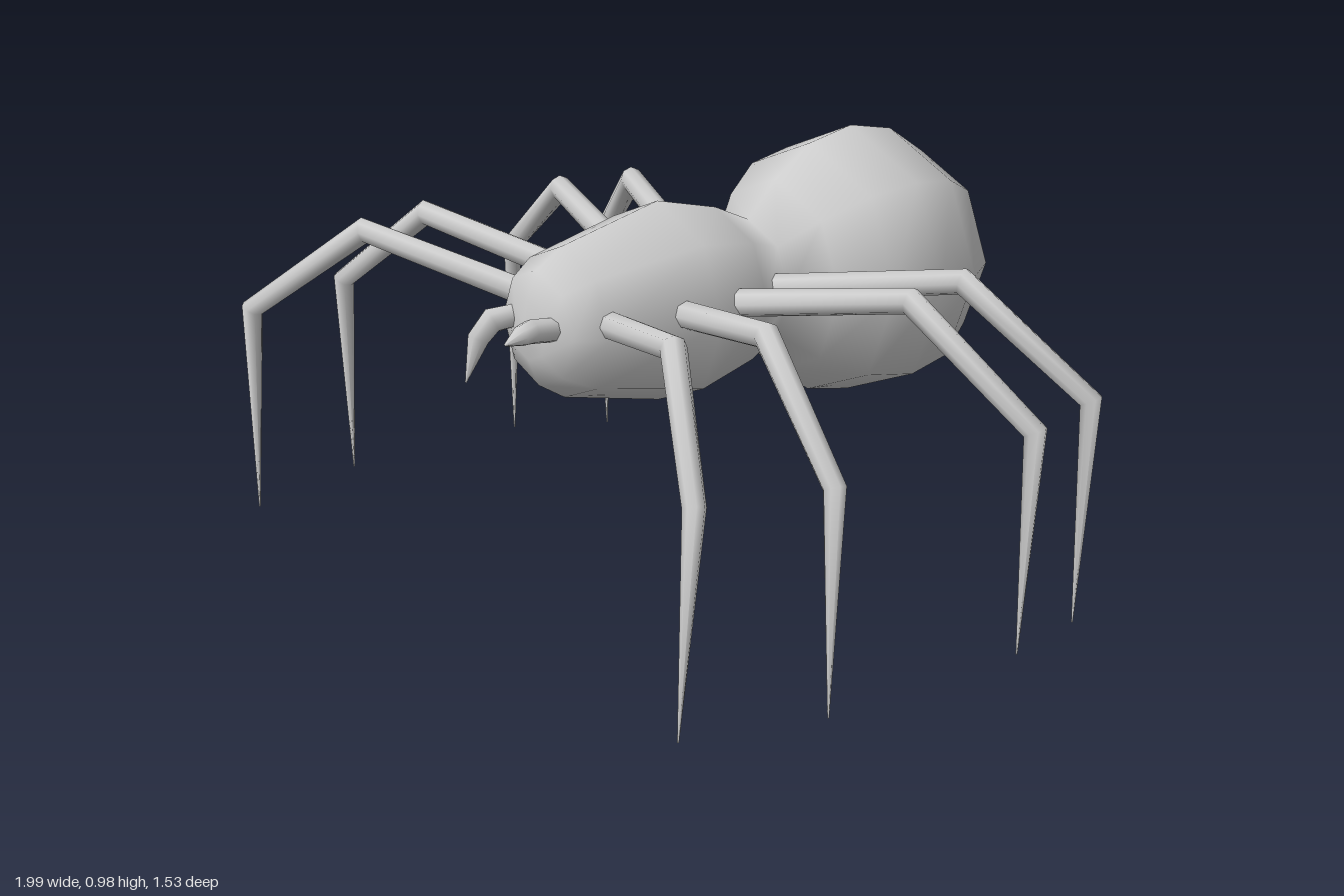
import * as THREE from 'three';

const material = new THREE.MeshStandardMaterial({ color: 0xcccccc });
const SIDES = 8;

// Tapered limb through joints [x, y, z, radius], with mitred rings at the bends
function limb(joints, name) {
  const p = joints.map(j => new THREE.Vector3(j[0], j[1], j[2]));
  const last = p.length - 1;
  const side = new THREE.Vector3(0, 1, 0).cross(p[last].clone().sub(p[0])).normalize();
  const positions = [], index = [];
  p.forEach((c, i) => {
    const before = p[i].clone().sub(p[Math.max(i - 1, 0)]).normalize();
    const after = p[Math.min(i + 1, last)].clone().sub(p[i]).normalize();
    const tangent = before.clone().add(after).normalize();
    const miter = i > 0 && i < last ? 1 / tangent.dot(after) : 1;
    const up = tangent.clone().cross(side).normalize();
    const r = joints[i][3];
    for (let k = 0; k < SIDES; k++) {
      const a = k / SIDES * Math.PI * 2;
      const v = c.clone().addScaledVector(side, r * Math.cos(a))
        .addScaledVector(up, r * miter * Math.sin(a));
      positions.push(v.x, v.y, v.z);
      if (i < last) {
        const n = (k + 1) % SIDES, o = i * SIDES;
        index.push(o + k, o + n, o + SIDES + k, o + n, o + SIDES + n, o + SIDES + k);
      }
    }
  });
  // Make the winding face outwards whichever way the ring frame turns
  const u0 = p[1].clone().sub(p[0]).normalize();
  const turn = side.clone().cross(u0.clone().cross(side)).dot(u0);
  if (turn < 0) index.reverse();
  const geometry = new THREE.BufferGeometry();
  geometry.setAttribute('position', new THREE.Float32BufferAttribute(positions, 3));
  geometry.setIndex(index);
  geometry.computeVertexNormals();
  const mesh = new THREE.Mesh(geometry, material);
  mesh.name = name;
  return mesh;
}

export function createModel() {
  const group = new THREE.Group();
  group.name = 'spider';

  // Body: round abdomen running through a narrow neck into the thorax
  const profile = [];
  for (let i = 0; i < 7; i++) {
    const a = i / 8 * Math.PI;
    profile.push(new THREE.Vector2(0.335 * Math.sin(a), -0.43 - 0.335 * Math.cos(a)));
  }
  for (const [r, z] of [[0.152, -0.11], [0.198, -0.01], [0.24, 0.16], [0.178, 0.43],
    [0.135, 0.5], [0.07, 0.527], [0, 0.535]]) profile.push(new THREE.Vector2(r, z));
  const body = new THREE.Mesh(new THREE.LatheGeometry(profile, 8), material);
  body.geometry.rotateX(Math.PI / 2);
  body.position.y = 0.642;
  body.name = 'body';
  group.add(body);

  // Legs: hip, knee, ankle and tip as [x, y, z], mirrored to both sides
  const legs = {
    frontLeg: [[0.15, 0.665, 0.405], [0.6, 0.757, 0.58], [0.872, 0.53, 0.742], [0.847, 0.025, 0.765]],
    secondLeg: [[0.18, 0.665, 0.225], [0.65, 0.757, 0.375], [0.96, 0.53, 0.455], [0.95, 0.025, 0.455]],
    thirdLeg: [[0.18, 0.665, 0.08], [0.65, 0.757, -0.03], [0.972, 0.53, -0.097], [0.958, 0.02, -0.08]],
    hindLeg: [[0.14, 0.665, -0.07], [0.61, 0.757, -0.225], [0.9, 0.53, -0.342], [0.88, 0, -0.335]],
  };
  const radii = [0.033, 0.029, 0.025, 0.002];
  for (const [name, joints] of Object.entries(legs)) {
    for (const s of [1, -1]) {
      // The right second leg stands slightly further back
      const shift = s < 0 && name === 'secondLeg' ? -0.025 : 0;
      const path = joints.map(([x, y, z], i) => [s * x, y, z + (i > 1 ? shift : 0), radii[i]]);
      group.add(limb(path, (s > 0 ? 'left ' : 'right ') + name));
    }
  }

  // Fangs: the left one reaches forward, the right one hangs down
  group.add(limb([[0.07, 0.65, 0.46, 0.028], [0.083, 0.668, 0.575, 0.028],
    [0.088, 0.665, 0.605, 0.024], [0.096, 0.655, 0.655, 0.002]], 'left fang'));
  group.add(limb([[-0.068, 0.66, 0.46, 0.026], [-0.078, 0.655, 0.57, 0.028],
    [-0.09, 0.615, 0.6, 0.026], [-0.112, 0.51, 0.622, 0.002]], 'right fang'));
  return group;
}
